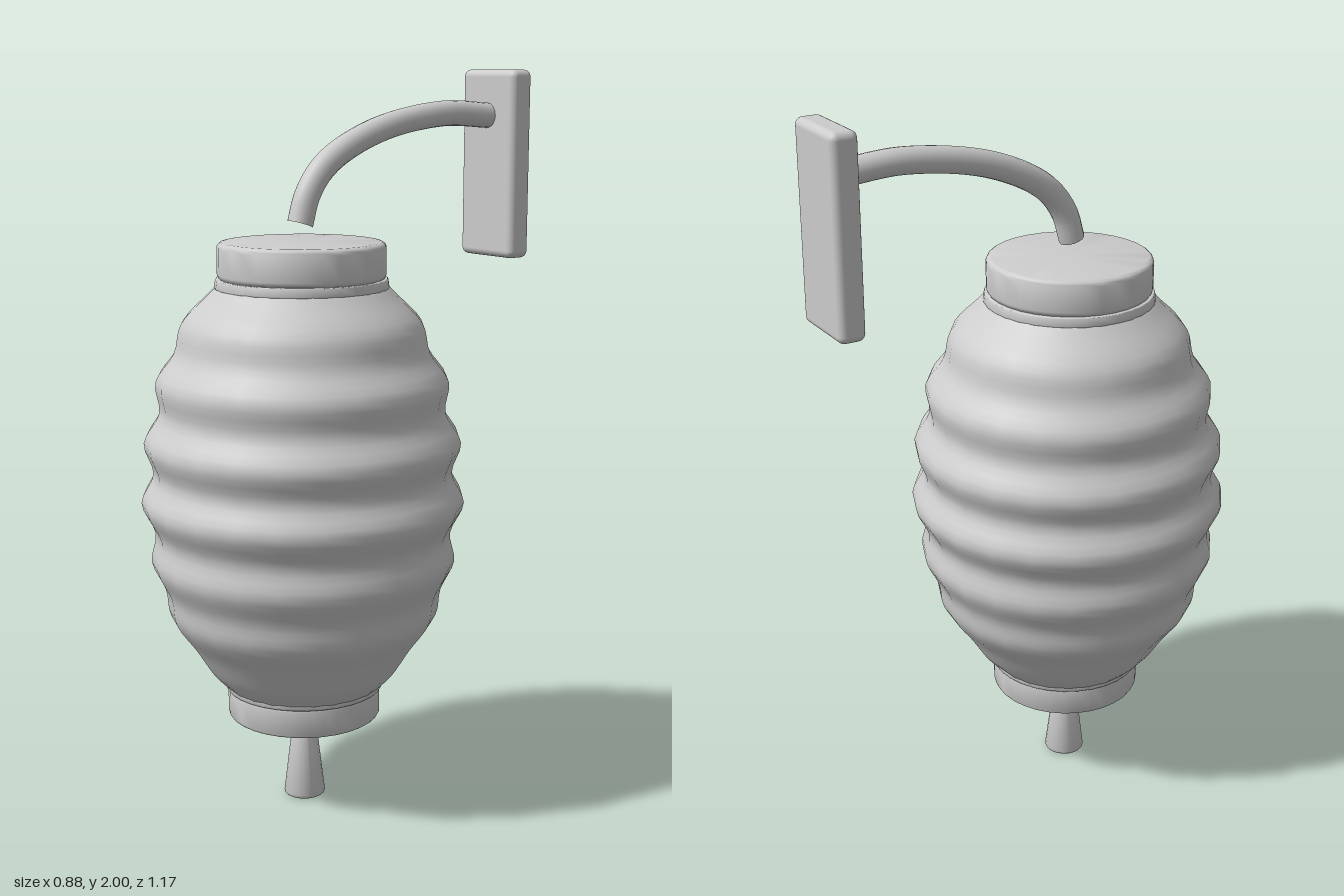
import * as THREE from 'three';
import { RoundedBoxGeometry } from 'three/addons/geometries/RoundedBoxGeometry.js';
import { toCreasedNormals } from 'three/addons/utils/BufferGeometryUtils.js';

const Z = 0.145; // axis of the hanging lantern

export function createModel() {
  const group = new THREE.Group();
  const grey = new THREE.MeshStandardMaterial({ color: 0xcccccc });

  const add = (name, geometry, x, y, z) => {
    const mesh = new THREE.Mesh(geometry, grey);
    mesh.name = name;
    mesh.position.set(x, y, z);
    group.add(mesh);
  };

  // Closed turned piece with rounded rims, from y0 (radius r0) to y1 (radius r1)
  const turned = (name, r0, r1, y0, y1, bevel, segments = 32) => {
    const pts = [new THREE.Vector2(0, y0)];
    for (let i = 0; i <= 4; i++) {
      const a = (i / 4) * Math.PI / 2;
      pts.push(new THREE.Vector2(r0 - bevel + bevel * Math.sin(a), y0 + bevel - bevel * Math.cos(a)));
    }
    for (let i = 0; i <= 4; i++) {
      const a = (i / 4) * Math.PI / 2;
      pts.push(new THREE.Vector2(r1 - bevel + bevel * Math.cos(a), y1 - bevel + bevel * Math.sin(a)));
    }
    pts.push(new THREE.Vector2(0, y1));
    add(name, toCreasedNormals(new THREE.LatheGeometry(pts, segments), 0.7), 0, 0, Z);
  };

  // Ribbed lantern body: alternating ridges and grooves as [radius, height]
  const ribs = [
    [0.215, 0.335], [0.262, 0.385], [0.31, 0.46], [0.365, 0.54], [0.378, 0.615],
    [0.414, 0.695], [0.402, 0.775], [0.438, 0.86], [0.404, 0.94], [0.428, 1.025],
    [0.385, 1.105], [0.393, 1.19], [0.343, 1.265], [0.322, 1.345], [0.255, 1.415], [0.23, 1.44],
  ].map(([r, y]) => new THREE.Vector2(r, y));
  const profile = new THREE.SplineCurve(ribs).getPoints(60);
  add('lanternBody', new THREE.LatheGeometry(profile, 24), 0, 0, Z);

  // Collars and end caps
  turned('topCollar', 0.233, 0.23, 1.435, 1.462, 0.004);
  turned('topCap', 0.225, 0.225, 1.458, 1.558, 0.016);
  turned('bottomCollar', 0.217, 0.219, 0.325, 0.345, 0.004);
  turned('bottomCap', 0.211, 0.211, 0.243, 0.333, 0.014);

  // Tassel
  turned('tassel', 0.057, 0.03, 0, 0.245, 0.009, 20);

  // Curved hanging arm
  const path = new THREE.CatmullRomCurve3([
    [1.603, 0.15], [1.68, 0.125], [1.757, 0.063], [1.838, -0.10], [1.881, -0.34], [1.873, -0.52],
  ].map(([y, z]) => new THREE.Vector3(0, y, z)));
  add('hangingArm', new THREE.TubeGeometry(path, 32, 0.035, 16), 0, 0, 0);
  const armEnd = new THREE.CircleGeometry(0.035, 16);
  armEnd.rotateX(Math.PI / 2);
  add('armEnd', armEnd, 0, 1.604, 0.15);

  // Wall plate
  add('wallPlate', new RoundedBoxGeometry(0.214, 0.525, 0.075, 4, 0.02), 0, 1.7375, -0.5475);

  return group;
}
